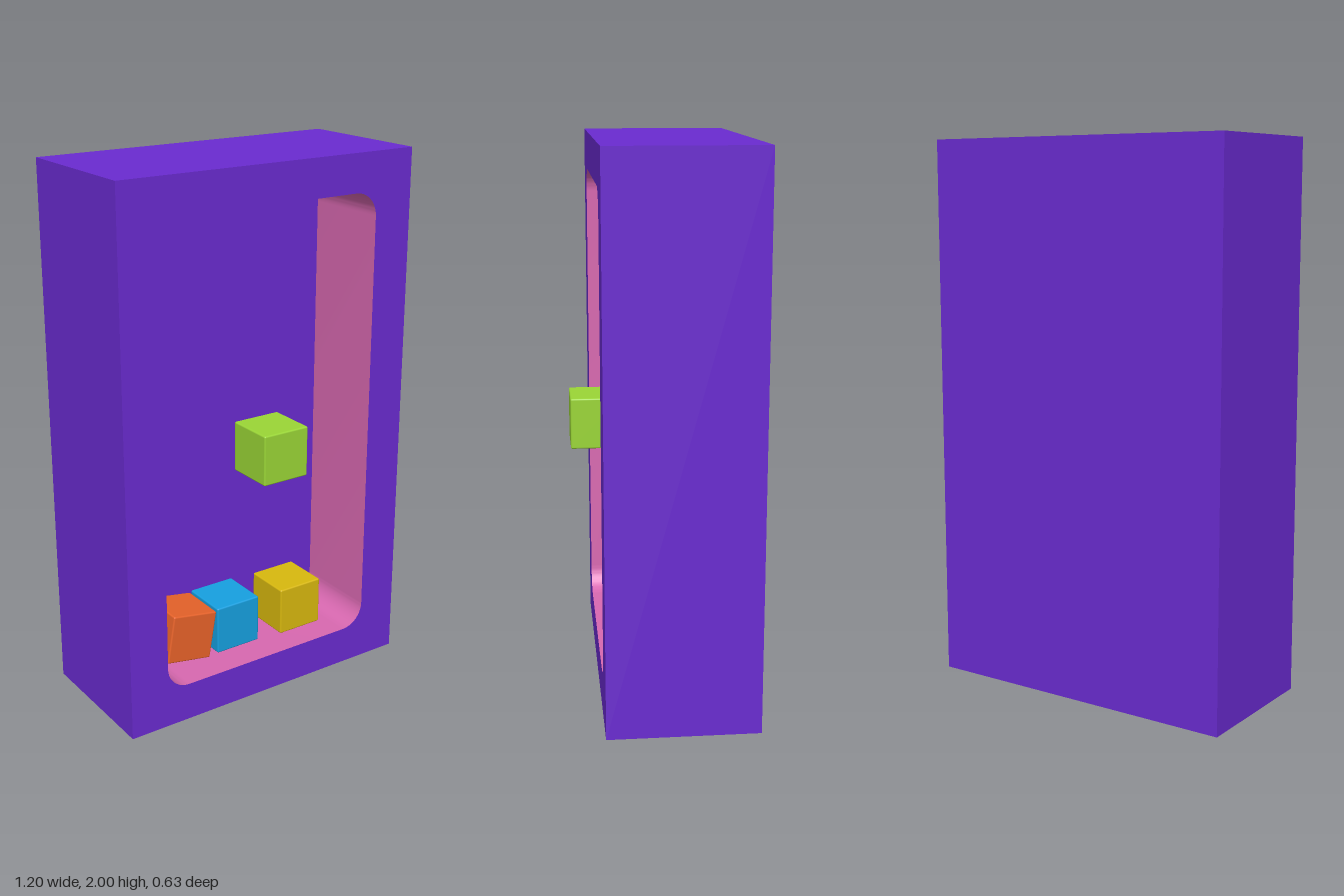
import * as THREE from 'three';
import { toCreasedNormals } from 'three/addons/utils/BufferGeometryUtils.js';
import { RoundedBoxGeometry } from 'three/addons/geometries/RoundedBoxGeometry.js';

const W = 1.2, H = 2, FRONT = 0.225, BACK = -0.315, RECESS = -0.11;

const paint = (color) => new THREE.MeshStandardMaterial({ color });

function addMesh(parent, name, geometry, material) {
  const mesh = new THREE.Mesh(geometry, material);
  mesh.name = name;
  parent.add(mesh);
  return mesh;
}

// Rounded rectangle, counter-clockwise
function roundedRect(x0, y0, x1, y1, r) {
  const s = new THREE.Shape();
  s.absarc(x1 - r, y0 + r, r, -Math.PI / 2, 0);
  s.absarc(x1 - r, y1 - r, r, 0, Math.PI / 2);
  s.absarc(x0 + r, y1 - r, r, Math.PI / 2, Math.PI);
  s.absarc(x0 + r, y0 + r, r, Math.PI, Math.PI * 1.5);
  s.closePath();
  return s;
}

// Inward-facing wall that follows an outline between two depths
function wallGeometry(outline, zFront, zBack) {
  const pts = outline.getPoints(10);
  const positions = [], index = [];
  pts.forEach((p, i) => {
    positions.push(p.x, p.y, zFront, p.x, p.y, zBack);
    if (i === pts.length - 1) return;
    const a = i * 2;
    index.push(a, a + 2, a + 1, a + 2, a + 3, a + 1);
  });
  const g = new THREE.BufferGeometry();
  g.setAttribute('position', new THREE.Float32BufferAttribute(positions, 3));
  g.setIndex(index);
  return toCreasedNormals(g, 0.6);
}

export function createModel() {
  const model = new THREE.Group();
  model.name = 'cubeDisplayCase';
  const purple = paint(0x6a2bd0);
  const opening = roundedRect(-0.447, 0.145, 0.445, 1.86, 0.09);

  // Outer case: a box without its front side
  const box = new THREE.BoxGeometry(W, H, FRONT - BACK);
  const sides = Array.from(box.index.array);
  sides.splice(24, 6);
  box.setIndex(sides);
  box.clearGroups();
  box.translate(0, H / 2, (FRONT + BACK) / 2);
  addMesh(model, 'caseShell', box, purple);

  // Front frame around the opening
  const frame = new THREE.Shape([
    new THREE.Vector2(-W / 2, 0), new THREE.Vector2(W / 2, 0),
    new THREE.Vector2(W / 2, H), new THREE.Vector2(-W / 2, H),
  ]);
  frame.holes.push(opening);
  addMesh(model, 'frontFrame', new THREE.ShapeGeometry(frame, 10), purple).position.z = FRONT;

  // Recess: pink walls and a purple back
  const pink = paint(0xd868b0);
  pink.side = THREE.DoubleSide;
  addMesh(model, 'recessWall', wallGeometry(opening, FRONT, RECESS), pink);
  addMesh(model, 'recessBack', new THREE.ShapeGeometry(opening, 10), purple).position.z = RECESS;

  // Cubes: one floating in the middle, three resting at the bottom
  const cubes = [
    ['floatingCube', 0x9ad636, 0, 0.987, 0.222, 0],
    ['orangeCube', 0xe8632a, -0.278, 0.262, 0.03, -0.17],
    ['blueCube', 0x16a0e0, -0.067, 0.247, 0.022, 0],
    ['yellowCube', 0xd8b80e, 0.222, 0.241, 0.027, 0],
  ];
  for (const [name, color, x, y, z, tilt] of cubes) {
    const cube = addMesh(model, name, new RoundedBoxGeometry(0.187, 0.187, 0.187, 2, 0.006), paint(color));
    cube.position.set(x, y, z);
    cube.rotation.z = tilt;
  }
  return model;
}
